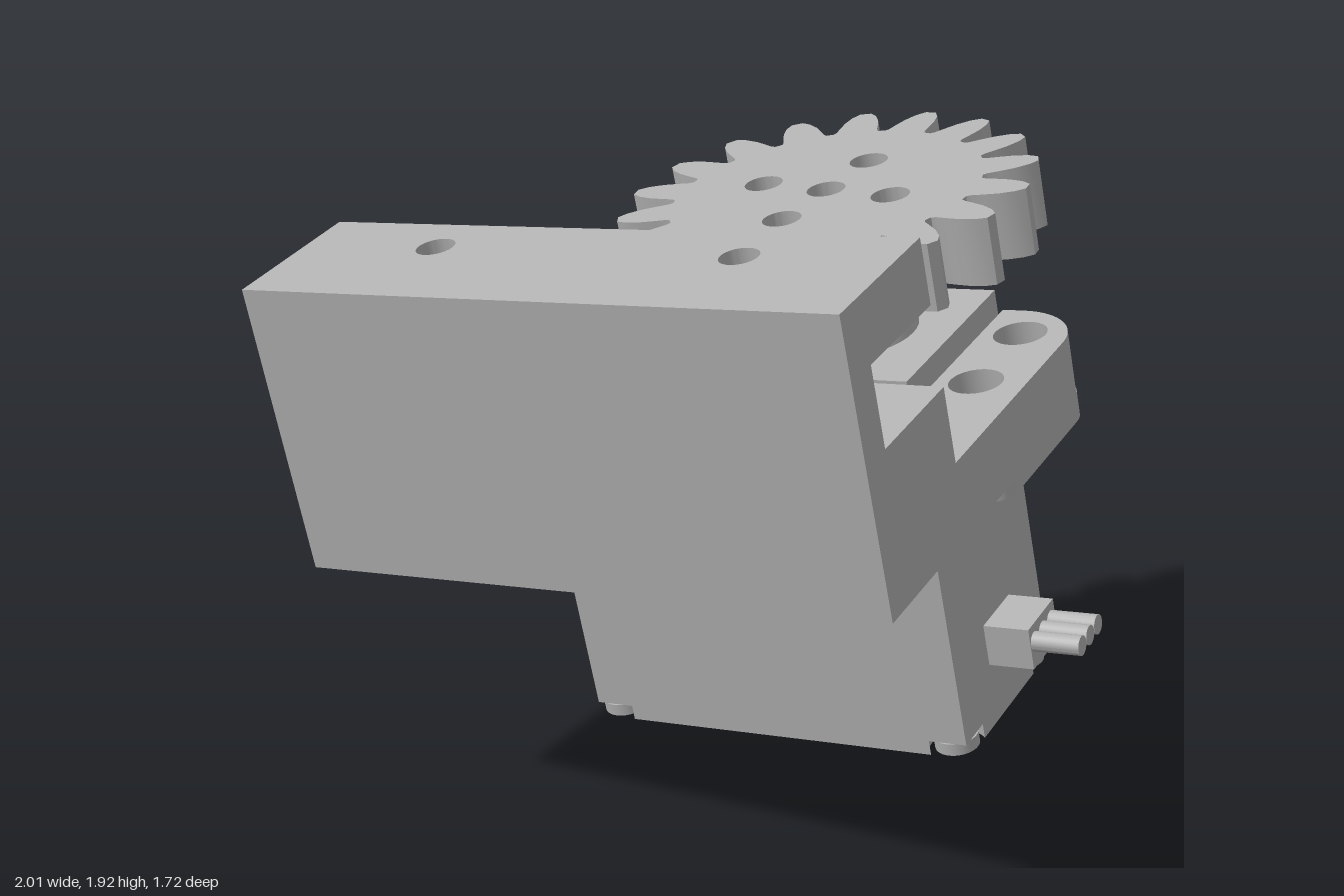
import * as THREE from 'three';
import { toCreasedNormals } from 'three/addons/utils/BufferGeometryUtils.js';

const CX = 0.148;                 // shared middle of bracket and servo
const AX = 0.453, AZ = -0.44;     // output shaft axis
const rad = THREE.MathUtils.degToRad;

export function createModel() {
  const root = new THREE.Group();
  root.name = 'servoGearAssembly';
  const grey = new THREE.MeshStandardMaterial({ color: 0xb4b4b4 });
  grey.name = 'grey';

  const group = (name) => {
    const g = new THREE.Group();
    g.name = name;
    root.add(g);
    return g;
  };
  const add = (parent, name, geo) => {
    const m = new THREE.Mesh(toCreasedNormals(geo, 0.6), grey);
    m.name = name;
    parent.add(m);
    return m;
  };
  // Flat outline in (x, z), raised from y0 to y1
  const slab = (shape, y0, y1) =>
    new THREE.ExtrudeGeometry(shape, { depth: y1 - y0, bevelEnabled: false, curveSegments: 20 })
      .rotateX(Math.PI / 2).translate(0, y1, 0);
  const rect = (x0, x1, z0, z1) => new THREE.Shape([
    new THREE.Vector2(x0, z0), new THREE.Vector2(x1, z0),
    new THREE.Vector2(x1, z1), new THREE.Vector2(x0, z1)]);
  const drill = (shape, x, z, r) => {
    shape.holes.push(new THREE.Path().absarc(x, z, r, 0, Math.PI * 2, true));
    return shape;
  };
  const disc = (x, z, r) => new THREE.Shape().absarc(x, z, r, 0, Math.PI * 2, false);
  const box = (x0, x1, y0, y1, z0, z1) =>
    new THREE.BoxGeometry(x1 - x0, y1 - y0, z1 - z0)
      .translate((x0 + x1) / 2, (y0 + y1) / 2, (z0 + z1) / 2);
  const cyl = (rTop, rBottom, y0, y1) =>
    new THREE.CylinderGeometry(rTop, rBottom, y1 - y0, 40).translate(AX, (y0 + y1) / 2, AZ);
  // Toothed outline; profile lists [half angle as part of the pitch, radius] from root to tip
  const toothed = (count, phase, profile) => {
    const pts = [], pitch = Math.PI * 2 / count;
    const put = (a, r) => pts.push(new THREE.Vector2(AX + r * Math.cos(a), AZ + r * Math.sin(a)));
    for (let i = 0; i < count; i++) {
      const a = phase + i * pitch;
      profile.forEach(([h, r]) => put(a - h * pitch, r));
      [...profile].reverse().forEach(([h, r]) => put(a + h * pitch, r));
    }
    return new THREE.Shape(pts);
  };

  // Bracket: front wall, grooved rail and forked arm
  const bracket = group('bracket');
  const L = CX - 0.904, R = CX + 0.904;
  const BOT = 0.984, ARM = 1.2, BACK = -0.755;
  add(bracket, 'frontWall', box(L, R, BOT, 1.837, 0.546, 0.657));
  const rail = () => {
    const s = rect(L, R, 0.188, 0.546);
    for (const k of [-1, 1]) drill(s, CX - 0.008 + k * 0.47, 0.338, 0.055);
    return s;
  };
  add(bracket, 'upperLip', slab(rail(), 1.651, 1.837));
  add(bracket, 'lowerLip', slab(rail(), BOT, 1.42));
  const nx = 0.637, nz = -0.107, er = 0.2;
  const arm = new THREE.Shape();
  arm.moveTo(L, 0.188);
  arm.lineTo(L, BACK + er);
  arm.absarc(L + er, BACK + er, er, Math.PI, Math.PI * 1.5, false);
  arm.lineTo(CX - nx, BACK);
  arm.lineTo(CX - nx, nz);
  arm.lineTo(CX + nx, nz);
  arm.lineTo(CX + nx, BACK);
  arm.lineTo(R - er, BACK);
  arm.absarc(R - er, BACK + er, er, Math.PI * 1.5, Math.PI * 2, false);
  arm.lineTo(R, 0.188);
  for (const k of [-1, 1]) for (const z of [-0.604, -0.288]) drill(arm, CX + k * 0.755, z, 0.078);
  add(bracket, 'forkedArm', slab(arm, BOT, ARM));

  // Servo case
  const servo = group('servo');
  const hx = 0.625, z0 = -0.745, z1 = -0.133, hz = (z1 - z0) / 2, cz = (z0 + z1) / 2;
  add(servo, 'lowerCase', box(CX - hx, CX + hx, 0.1, 0.415, z0, z1));
  const side = new THREE.Shape([[-hx, 0.415], [hx, 0.415], [hx, 1.266], [-hx + 0.135, 1.266], [-hx, 1.203]]
    .map(([x, y]) => new THREE.Vector2(CX + x, y)));
  add(servo, 'upperCase', new THREE.ExtrudeGeometry(side, { depth: z1 - z0, bevelEnabled: false })
    .translate(0, 0, z0));

  // Bottom cover with screw recesses in its corners
  const inset = 0.06, notch = inset * Math.SQRT2;
  const cover = new THREE.Shape();
  const corners = [[1, 1], [-1, 1], [-1, -1], [1, -1]]
    .map(([sx, sz]) => [CX + sx * (hx - inset), cz + sz * (hz - inset)]);
  corners.forEach(([x, z], k) =>
    cover.absarc(x, z, notch, rad(-45 + 90 * k), rad(135 + 90 * k), true));
  cover.closePath();
  add(servo, 'bottomCover', slab(cover, 0.053, 0.1));

  // Screws with cross slots
  const a = 0.009, b = 0.04;
  const cross = [[a, a], [a, b], [-a, b], [-a, a], [-b, a], [-b, -a],
    [-a, -a], [-a, -b], [a, -b], [a, -a], [b, -a], [b, a]];
  corners.forEach(([x, z]) => {
    const head = disc(x, z, 0.066);
    head.holes.push(new THREE.Path(cross.map(([u, v]) => new THREE.Vector2(x + u, z + v))));
    add(servo, 'screwHead', slab(head, 0.062, 0.085));
    add(servo, 'screwBase', slab(disc(x, z, 0.066), 0.085, 0.1));
  });

  // Mounting tabs on both ends
  for (const k of [-1, 1]) {
    const xi = CX + k * (hx - 0.01), xo = CX + k * 0.87, r = 0.1;
    const tab = new THREE.Shape();
    tab.moveTo(xi, z0);
    tab.lineTo(xo - k * r, z0);
    tab.quadraticCurveTo(xo, z0, xo, z0 + r);
    tab.lineTo(xo, z1 - r);
    tab.quadraticCurveTo(xo, z1, xo - k * r, z1);
    tab.lineTo(xi, z1);
    for (const z of [-0.604, -0.288]) drill(tab, CX + k * 0.755, z, 0.07);
    add(servo, 'mountingTab', slab(tab, 0.905, BOT));
  }

  // Cable plug and three wires
  add(servo, 'cablePlug', box(0.77, 0.915, 0.243, 0.374, -0.54, -0.352));
  for (const k of [-1, 0, 1]) {
    add(servo, 'wire', new THREE.CylinderGeometry(0.03, 0.03, 0.2, 20)
      .rotateZ(Math.PI / 2).translate(0.963, 0.32, -0.446 + k * 0.062));
  }

  // Output shaft, horn and gear
  const drive = group('drive');
  add(drive, 'shaftBoss', cyl(0.185, 0.2, 1.26, 1.335));
  add(drive, 'splinedShaft', slab(toothed(25, 0, [[0.4, 0.098], [0.12, 0.11]]), 1.33, 1.385));
  add(drive, 'hornHub', cyl(0.135, 0.135, 1.375, 1.425));
  const phase = rad(-84.5);
  const fiveHoles = (shape, r) => {
    drill(shape, AX, AZ, r);
    for (let i = 0; i < 4; i++) {
      const t = rad(8.4) + i * Math.PI / 2;
      drill(shape, AX + 0.217 * Math.cos(t), AZ + 0.217 * Math.sin(t), r);
    }
    return shape;
  };
  add(drive, 'horn', slab(fiveHoles(disc(AX, AZ, 0.312), 0.05), 1.425, 1.505));
  const tooth = [[0.43, 0.445], [0.38, 0.457], [0.33, 0.49], [0.27, 0.53], [0.18, 0.57], [0.08, 0.595]];
  add(drive, 'gear', slab(fiveHoles(toothed(18, phase, tooth), 0.055), 1.505, 1.699));

  // Overall lean of the assembly
  root.rotation.set(rad(6.5), 0, rad(7.95), 'ZYX');
  return root;
}
